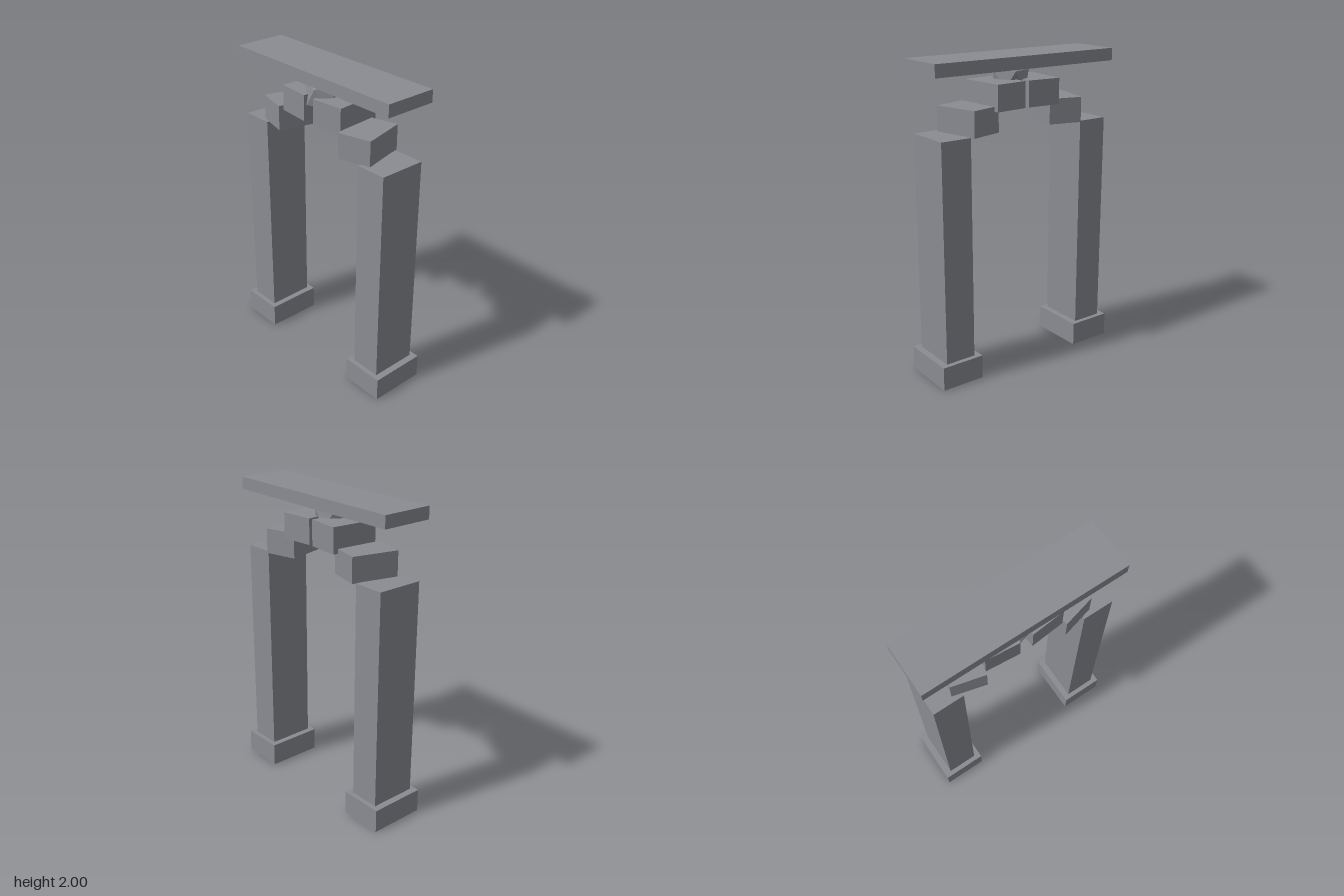
import * as THREE from 'three';

export function createModel() {
  const model = new THREE.Group();
  model.name = 'stoneArch';

  const stone = new THREE.MeshStandardMaterial({ color: 0x8a8c92 });
  stone.name = 'grey stone';

  function add(name, geometry, x, y, z, turn = 0) {
    const mesh = new THREE.Mesh(geometry, stone);
    mesh.name = name;
    mesh.position.set(x, y, z);
    mesh.rotation.y = turn;
    model.add(mesh);
    return mesh;
  }

  // Box standing on height y0 and reaching y1
  function block(name, width, depth, x, y0, y1, turn = 0) {
    return add(name, new THREE.BoxGeometry(width, y1 - y0, depth), x, (y0 + y1) / 2, 0, turn);
  }

  // Two mirrored pillars, each with a plinth and twisted stepped stones
  for (const [side, s] of [['left', 1], ['right', -1]]) {
    block(side + 'Plinth', 0.286, 0.367, s * 0.523, 0, 0.153);
    block(side + 'Shaft', 0.203, 0.306, s * 0.521, 0.153, 1.555);
    block(side + 'LowerArchStone', 0.217, 0.3, s * 0.338, 1.552, 1.713, s * 0.25);
    block(side + 'UpperArchStone', 0.219, 0.306, s * 0.1365, 1.684, 1.847, s * 0.09);
  }

  // Faceted keystone, one corner down and its top sunk into the lintel
  const gem = new THREE.IcosahedronGeometry(0.13, 0);
  gem.rotateX(-Math.atan((1 + Math.sqrt(5)) / 2));
  gem.rotateY(Math.PI / 2);
  add('keystone', gem, 0, 1.84, 0.035);

  // Flat lintel across the top
  block('lintel', 1.32, 0.338, 0, 1.922, 2);

  return model;
}
